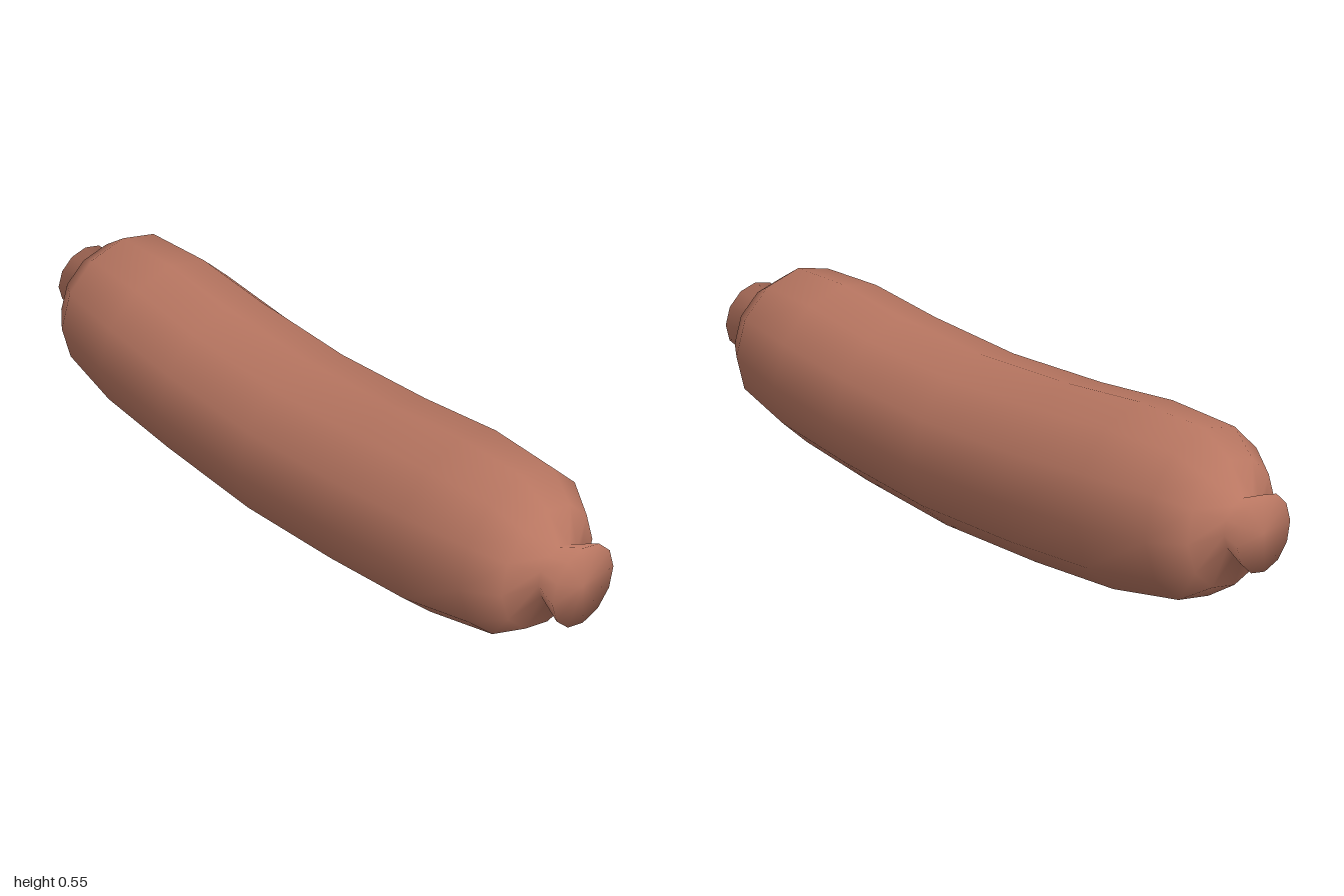
import * as THREE from 'three';

const SIDES = 12;

// Tilted cross-sections from front to back: [top z, top y, bottom z, bottom y]
const RINGS = [
  [0.98, 0.446, 1.0, 0.225],
  [0.905, 0.405, 0.92, 0.255],
  [0.86, 0.49, 0.89, 0.16],
  [0.77, 0.547, 0.81, 0.1],
  [0.565, 0.55, 0.605, 0.05],
  [0.315, 0.522, 0.33, 0.02],
  [0, 0.505, 0, 0.001],
  [-0.33, 0.522, -0.345, 0.02],
  [-0.575, 0.549, -0.625, 0.05],
  [-0.79, 0.547, -0.83, 0.1],
  [-0.875, 0.49, -0.91, 0.163],
  [-0.92, 0.405, -0.935, 0.26],
  [-0.98, 0.435, -1.0, 0.235],
];

// Skin lofted through the rings, with a flat fan closing each tied end
function sausageGeometry() {
  const positions = [];
  const indices = [];
  for (const [zt, yt, zb, yb] of RINGS) {
    const radius = Math.hypot(zt - zb, yt - yb) / 2;
    for (let i = 0; i < SIDES; i++) {
      const a = (i / SIDES) * Math.PI * 2;
      const t = (1 + Math.cos(a)) / 2; // 1 at the top, 0 at the bottom
      positions.push(radius * Math.sin(a), yb + (yt - yb) * t, zb + (zt - zb) * t);
    }
  }
  for (let r = 0; r < RINGS.length - 1; r++) {
    for (let i = 0; i < SIDES; i++) {
      const j = (i + 1) % SIDES;
      const a = r * SIDES + i, b = r * SIDES + j;
      const c = a + SIDES, d = b + SIDES;
      indices.push(a, b, c, b, d, c);
    }
  }
  // End caps share the rim vertices so the shading stays smooth
  for (const r of [0, RINGS.length - 1]) {
    const [zt, yt, zb, yb] = RINGS[r];
    const centre = positions.length / 3;
    positions.push(0, (yt + yb) / 2, (zt + zb) / 2);
    for (let i = 0; i < SIDES; i++) {
      const a = r * SIDES + i, b = r * SIDES + ((i + 1) % SIDES);
      if (r === 0) indices.push(centre, b, a);
      else indices.push(centre, a, b);
    }
  }
  const geometry = new THREE.BufferGeometry();
  geometry.setAttribute('position', new THREE.Float32BufferAttribute(positions, 3));
  geometry.setIndex(indices);
  geometry.computeVertexNormals();
  return geometry;
}

export function createModel() {
  const group = new THREE.Group();
  group.name = 'sausage';
  const meat = new THREE.MeshStandardMaterial({ color: 0xb87661 });
  meat.name = 'meat brown';
  const skin = new THREE.Mesh(sausageGeometry(), meat);
  skin.name = 'sausageSkin';
  group.add(skin);
  return group;
}
